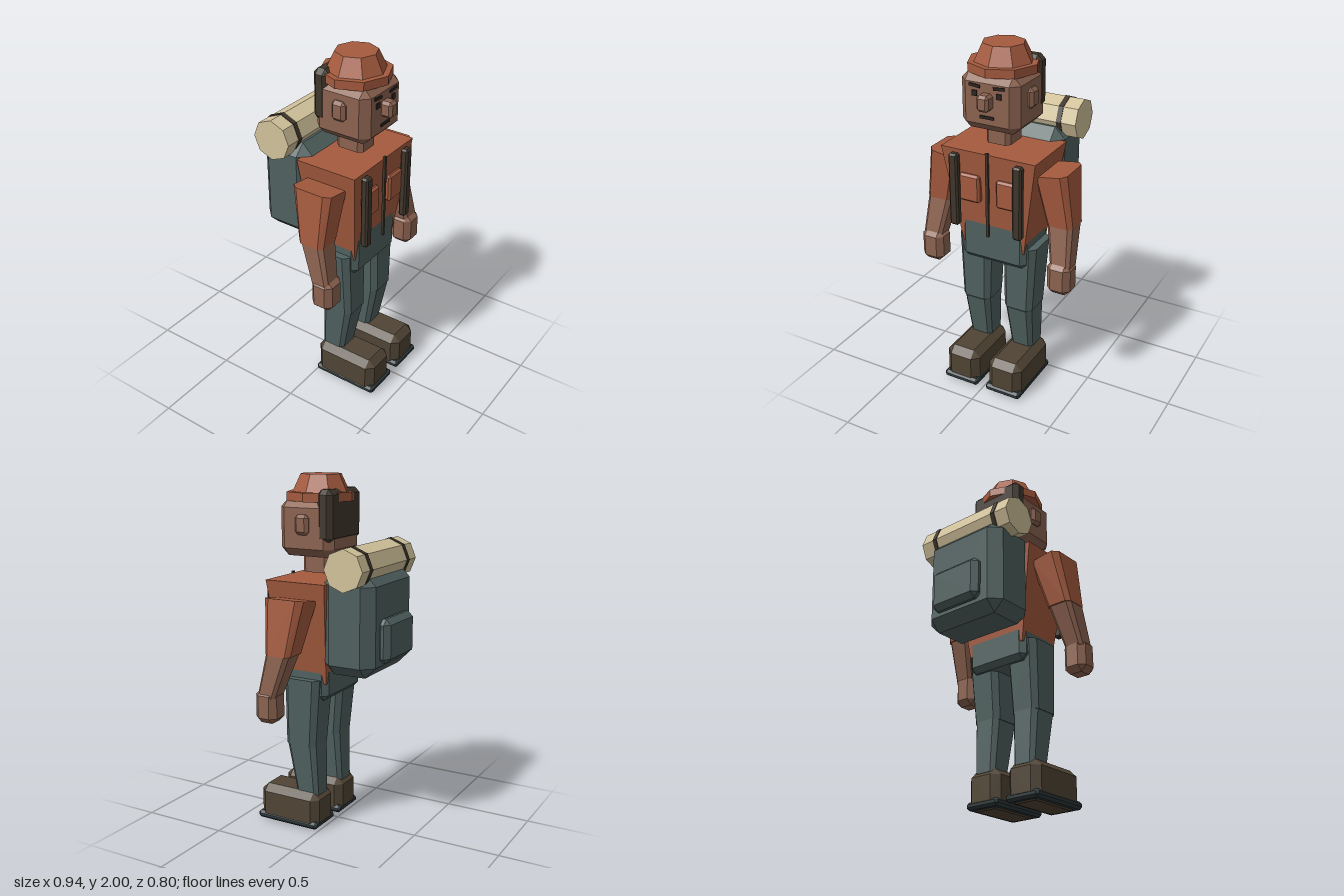
import * as THREE from 'three';
import { ConvexGeometry } from 'three/addons/geometries/ConvexGeometry.js';

const paint = (name, color) => {
  const m = new THREE.MeshStandardMaterial({ color, flatShading: true });
  m.name = name;
  return m;
};

// Corners of a box with all edges bevelled by c
function bevelPoints(x, y, z, w, h, d, c) {
  const pts = [];
  for (const sx of [-1, 1]) for (const sy of [-1, 1]) for (const sz of [-1, 1]) {
    const a = w / 2, b = h / 2, e = d / 2;
    for (const [p, q, r] of [[a, b - c, e - c], [a - c, b, e - c], [a - c, b - c, e]])
      pts.push(new THREE.Vector3(x + sx * p, y + sy * q, z + sz * r));
  }
  return pts;
}

// Horizontal cross-section with cut corners; tx and tz tilt it
function ring({ x = 0, y, z, hx, hz, cut = 0.3, tx = 0, tz = 0 }) {
  const pts = [], k = 1 - cut;
  for (const sx of [-1, 1]) for (const sz of [-1, 1])
    for (const [a, b] of [[1, k], [k, 1]]) {
      const dx = sx * a * hx, dz = sz * b * hz;
      pts.push(new THREE.Vector3(x + dx, y + dx * tx + dz * tz, z + dz));
    }
  return pts;
}

export function createModel() {
  const model = new THREE.Group();
  model.name = 'hiker';

  const rust = paint('rust cloth', 0xa45a3e);
  const skin = paint('skin', 0x8c6350);
  const slate = paint('slate cloth', 0x4f615f);
  const boot = paint('boot leather', 0x504434);
  const dark = paint('dark brown', 0x3f362b);
  const sole = paint('sole rubber', 0x2d383b);
  const canvas = paint('canvas', 0xd2c39b);
  const ink = paint('face ink', 0x2b2320);

  const add = (name, geo, mat, x = 0, y = 0, z = 0) => {
    const m = new THREE.Mesh(geo, mat);
    m.name = name;
    m.position.set(x, y, z);
    model.add(m);
    return m;
  };
  const bevel = (name, mat, x, y, z, w, h, d, c) =>
    add(name, new ConvexGeometry(bevelPoints(0, 0, 0, w, h, d, c)), mat, x, y, z);
  const box = (name, mat, x, y, z, w, h, d) =>
    add(name, new THREE.BoxGeometry(w, h, d), mat, x, y, z);
  // Segment between two sections, mirrored when s is -1
  const limb = (name, mat, a, b, s = 1) => {
    const pts = [...ring(a), ...ring(b)];
    pts.forEach(p => { p.x *= s; });
    return add(name, new ConvexGeometry(pts), mat);
  };

  // Torso
  limb('jacket', rust,
    { y: 0.87, z: 0.1, hx: 0.19, hz: 0.135, cut: 0 },
    { y: 1.44, z: 0.107, hx: 0.282, hz: 0.183, cut: 0 });
  bevel('hips', slate, 0, 0.91, 0.104, 0.4, 0.28, 0.288, 0.03);
  box('zipper', dark, 0, 1.205, 0.291, 0.016, 0.49, 0.014);
  limb('neck', skin,
    { y: 1.465, z: 0.105, hx: 0.072, hz: 0.083 },
    { y: 1.6, z: 0.105, hx: 0.072, hz: 0.083 });

  for (const s of [1, -1]) {
    const side = s > 0 ? 'left' : 'right';

    // Legs and boots
    limb(side + 'Thigh', slate,
      { x: 0.135, y: 0.495, z: 0.125, hx: 0.088, hz: 0.095 },
      { x: 0.14, y: 0.89, z: 0.105, hx: 0.102, hz: 0.112 }, s);
    limb(side + 'Shin', slate,
      { x: 0.136, y: 0.2, z: 0.09, hx: 0.068, hz: 0.07 },
      { x: 0.135, y: 0.5, z: 0.122, hx: 0.084, hz: 0.092, tz: -0.13 }, s);
    bevel(side + 'Boot', boot, s * 0.137, 0.11, 0.197, 0.212, 0.22, 0.386, 0.04);
    bevel(side + 'Sole', sole, s * 0.137, 0.03, 0.202, 0.22, 0.044, 0.396, 0.014);

    // Arms
    limb(side + 'Sleeve', rust,
      { x: 0.375, y: 1.065, z: 0.122, hx: 0.077, hz: 0.078 },
      { x: 0.322, y: 1.355, z: 0.103, hx: 0.094, hz: 0.12, tx: 0.15 }, s);
    limb(side + 'Forearm', skin,
      { x: 0.405, y: 0.83, z: 0.19, hx: 0.057, hz: 0.055 },
      { x: 0.375, y: 1.07, z: 0.124, hx: 0.074, hz: 0.073 }, s);
    bevel(side + 'Hand', skin, s * 0.4, 0.778, 0.195, 0.138, 0.19, 0.132, 0.032);

    // Jacket pocket and pack strap
    bevel(side + 'JacketPocket', rust, s * 0.112, 1.225, 0.275, 0.126, 0.16, 0.045, 0.012);
    bevel(side + 'ShoulderStrap', dark, s * 0.192, 1.21, 0.306, 0.054, 0.42, 0.044, 0.01);

    // Ear, eye and brow
    bevel(side + 'Ear', skin, s * 0.172, 1.735, 0.12, 0.05, 0.11, 0.084, 0.018);
    box(side + 'Eye', ink, s * 0.071, 1.767, 0.284, 0.03, 0.03, 0.009);
    box(side + 'Brow', ink, s * 0.071, 1.808, 0.284, 0.064, 0.016, 0.009).rotation.z = s * 0.1;
  }

  // Head
  bevel('head', skin, 0, 1.715, 0.115, 0.344, 0.31, 0.334, 0.045);
  bevel('nose', skin, 0, 1.732, 0.3, 0.07, 0.088, 0.08, 0.015);
  box('mouth', ink, 0, 1.645, 0.284, 0.08, 0.016, 0.009);
  bevel('hair', dark, 0, 1.782, -0.007, 0.348, 0.285, 0.096, 0.028);

  // Hat
  add('hatBrim', new THREE.CylinderGeometry(0.193, 0.193, 0.048, 8), rust, 0, 1.881, 0.104);
  add('hatCrown', new THREE.CylinderGeometry(0.115, 0.163, 0.1, 8), rust, 0, 1.95, 0.104);

  // Backpack
  bevel('backpack', slate, 0, 1.222, -0.188, 0.53, 0.56, 0.312, 0.062);
  bevel('backpackPocket', slate, 0, 1.14, -0.362, 0.33, 0.245, 0.076, 0.03);

  // Bedroll with two bands
  const roll = (name, mat, x, r, len) => {
    add(name, new THREE.CylinderGeometry(r, r, len, 8), mat, x, 1.53, -0.211).rotation.z = Math.PI / 2;
  };
  roll('bedroll', canvas, 0, 0.114, 0.64);
  for (const s of [1, -1]) roll('bedrollBand', dark, s * 0.22, 0.118, 0.028);

  return model;
}
